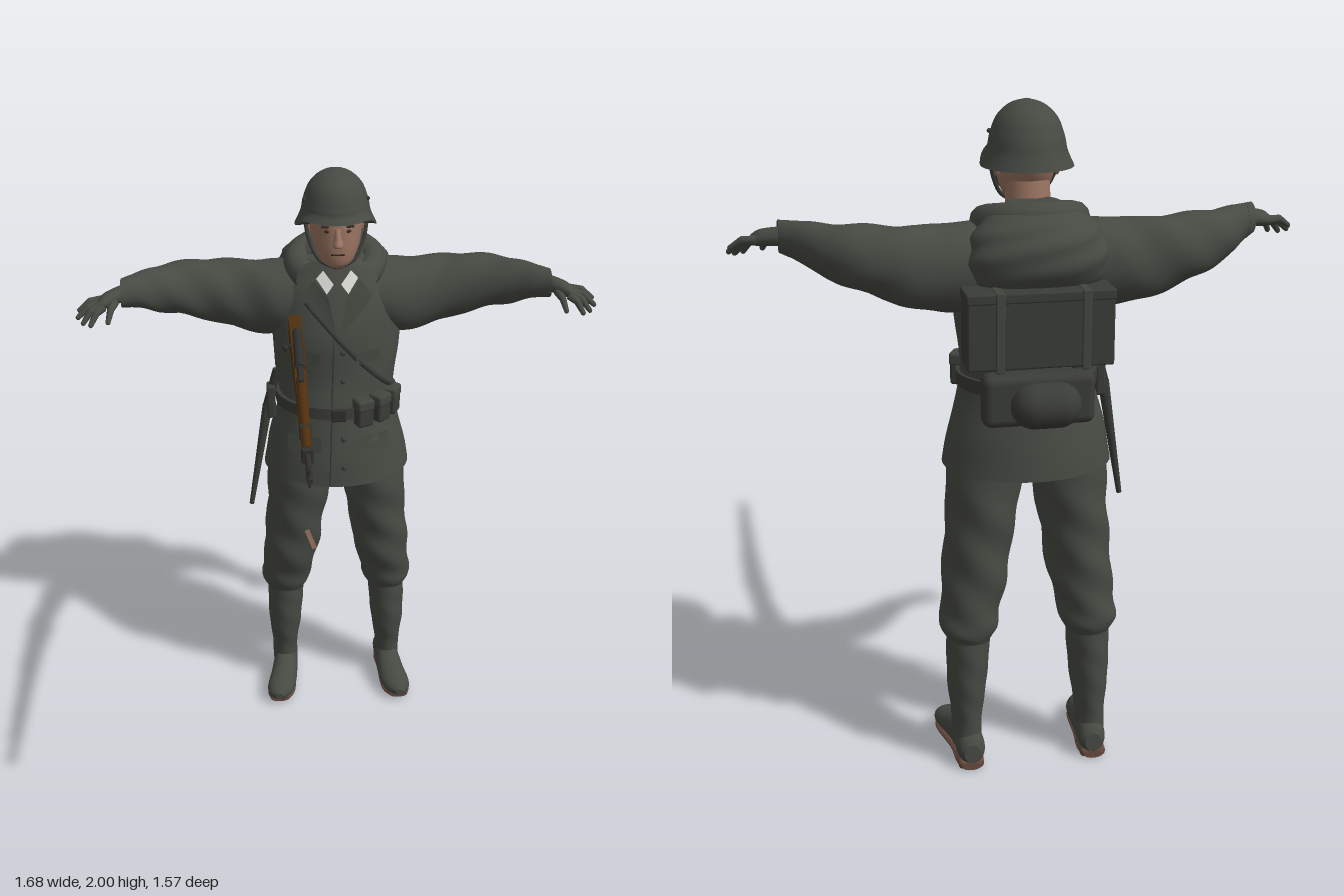
import * as THREE from 'three';
import { RoundedBoxGeometry } from 'three/addons/geometries/RoundedBoxGeometry.js';

const V = (x, y, z) => new THREE.Vector3(x, y, z);
const mat = (name, color, side = THREE.FrontSide) => {
  const m = new THREE.MeshStandardMaterial({ color, side });
  m.name = name;
  return m;
};

// jacket cross-sections: x, y, z, half width, half depth
const TORSO = [[0, .95, -.475, .25, .21], [0, 1.05, -.475, .232, .2], [0, 1.2, -.475, .196, .175],
  [0, 1.3, -.485, .202, .165], [0, 1.45, -.495, .215, .168], [0, 1.58, -.51, .208, .148],
  [0, 1.66, -.515, .165, .12], [0, 1.7, -.5, .1, .09]];

// front surface of the jacket at x, y
function frontZ(x, y) {
  let i = 0;
  while (i < TORSO.length - 2 && TORSO[i + 1][1] < y) i++;
  const a = TORSO[i], b = TORSO[i + 1], t = (y - a[1]) / (b[1] - a[1]);
  const [, , cz, rx, rz] = a.map((v, k) => v + (b[k] - v) * t);
  return cz + rz * Math.sqrt(Math.max(0, 1 - (x / rx) ** 2));
}

// smooth closed body through elliptical rings [x, y, z, a, b] set across an axis
function loft(rings, axis, seg = 28, ripple = 0) {
  const P = new THREE.CatmullRomCurve3(rings.map(r => V(r[0], r[1], r[2])), false, 'catmullrom', .5);
  const R = new THREE.CatmullRomCurve3(rings.map(r => V(r[3], r[4], 0)), false, 'catmullrom', .5);
  const n = (rings.length - 1) * 5, pos = [], idx = [];
  const ring = t => {
    const p = P.getPoint(t), r = R.getPoint(t);
    for (let j = 0; j < seg; j++) {
      const a = j / seg * Math.PI * 2;
      const w = 1 + ripple * Math.sin(3 * a + t * 26) * Math.sin(t * Math.PI);
      const c = Math.cos(a) * r.x * w, s = Math.sin(a) * r.y * w;
      if (axis === 'y') pos.push(p.x + c, p.y, p.z + s);
      else if (axis === 'x') pos.push(p.x, p.y + c, p.z + s);
      else pos.push(p.x + c, p.y + s, p.z);
    }
    return p;
  };
  for (let i = 0; i <= n; i++) ring(i / n);
  for (let i = 0; i < n; i++) for (let j = 0; j < seg; j++) {
    const a = i * seg + j, b = i * seg + (j + 1) % seg;
    idx.push(a, a + seg, b, b, a + seg, b + seg);
  }
  for (const t of [0, 1]) {
    const base = pos.length / 3, c = ring(t);
    pos.push(c.x, c.y, c.z);
    for (let j = 0; j < seg; j++) {
      const a = base + j, b = base + (j + 1) % seg;
      idx.push(...(t ? [a, base + seg, b] : [b, base + seg, a]));
    }
  }
  // turn the faces outward
  let vol = 0;
  const pt = i => V(pos[i * 3], pos[i * 3 + 1], pos[i * 3 + 2]), o = pt(0);
  for (let i = 0; i < idx.length; i += 3)
    vol += pt(idx[i]).sub(o).dot(pt(idx[i + 1]).sub(o).cross(pt(idx[i + 2]).sub(o)));
  if (vol < 0) idx.reverse();
  const g = new THREE.BufferGeometry();
  g.setAttribute('position', new THREE.Float32BufferAttribute(pos, 3));
  g.setIndex(idx);
  g.computeVertexNormals();
  return g;
}

// tapered rod between two points
function rod(a, b, ra, rb = ra, seg = 12) {
  const d = b.clone().sub(a), g = new THREE.CylinderGeometry(rb, ra, d.length(), seg);
  g.applyQuaternion(new THREE.Quaternion().setFromUnitVectors(V(0, 1, 0), d.clone().normalize()));
  const m = a.clone().add(b).multiplyScalar(.5);
  return g.translate(m.x, m.y, m.z);
}
const tube = (pts, r) => new THREE.TubeGeometry(new THREE.CatmullRomCurve3(pts), 28, r, 8);
const box = (w, h, d, x, y, z, r = .008) => new RoundedBoxGeometry(w, h, d, 2, r).translate(x, y, z);

export function createModel() {
  const root = new THREE.Group();
  root.name = 'soldier';
  const cloth = mat('field grey cloth', 0x474a43), gear = mat('dark gear', 0x3a3c37);
  const skin = mat('skin', 0x9a7461), wood = mat('rifle wood', 0x50300f);
  const metal = mat('gun metal', 0x30312f), sole = mat('boot sole', 0x664a3e);
  const white = mat('shirt collar', 0xd8d8d4, THREE.DoubleSide);
  const flap = mat('cloth flaps', 0x42453e, THREE.DoubleSide);
  const dark = mat('dark features', 0x3a2a24);
  const add = (name, g, m, parent = root) => {
    const mesh = new THREE.Mesh(g, m);
    mesh.name = name;
    parent.add(mesh);
    return mesh;
  };
  // flat panel laid on the jacket front
  const drape = (name, pts, m, off = .01) => {
    const g = new THREE.ShapeGeometry(new THREE.Shape(pts.map(p => new THREE.Vector2(...p))));
    const p = g.attributes.position;
    for (let i = 0; i < p.count; i++) p.setZ(i, frontZ(p.getX(i), p.getY(i)) + off);
    g.computeVertexNormals();
    add(name, g, m);
  };

  // jacket, hood and collar
  add('jacket', loft(TORSO, 'y', 40, .012), cloth);
  add('hood', loft([[0, 1.48, -.62, .15, .05], [0, 1.56, -.635, .19, .095], [0, 1.64, -.615, .185, .115],
    [0, 1.7, -.585, .14, .105], [0, 1.735, -.565, .07, .06]], 'y', 32, .03), cloth);
  const collar = new THREE.TorusGeometry(.125, .045, 12, 40, 4.5);
  collar.rotateZ(Math.PI / 2 + .89).rotateX(Math.PI / 2).rotateX(.22).translate(0, 1.672, -.505);
  add('hoodCollar', collar, cloth);
  for (const s of [-1, 1]) {
    drape('shirtCollar', [[s * .012, 1.645], [s * .035, 1.615], [s * .068, 1.66], [s * .045, 1.685]], white, .024);
    drape('lapel', [[s * .005, 1.48], [s * .03, 1.6], [s * .075, 1.65], [s * .115, 1.6], [s * .085, 1.56]], flap, .014);
    drape('skirtPocketFlap', [[s * .06, 1.13], [s * .17, 1.12], [s * .17, 1.07], [s * .115, 1.055], [s * .06, 1.08]], flap, .012);
    drape('breastPocketFlap', [[s * .06, 1.42], [s * .14, 1.42], [s * .14, 1.385], [s * .1, 1.37], [s * .06, 1.385]], flap, .012);
  }
  const line = (x0, y0, x1, y1) => Array.from({ length: 9 }, (_, i) => {
    const x = x0 + (x1 - x0) * i / 8, y = y0 + (y1 - y0) * i / 8;
    return V(x, y, frontZ(x, y));
  });
  add('frontEdge', tube(line(-.03, .955, -.01, 1.5), .005), flap);
  add('slingStrap', tube(line(-.1, 1.58, .185, 1.26), .011), gear);
  for (let i = 0; i < 5; i++) {
    const y = 1.02 + i * .1;
    add('button', new THREE.SphereGeometry(.009, 10, 8).translate(.015, y, frontZ(.015, y) + .002), gear);
  }

  // belt, buckle and pouches
  add('belt', loft([[0, 1.19, -.475, .206, .184], [0, 1.23, -.477, .207, .183]], 'y', 40), gear);
  add('buckle', box(.05, .045, .014, 0, 1.21, -.288, .005), metal);
  for (const a of [.42, .78, 1.14]) {
    const pouch = new THREE.Group();
    pouch.name = 'ammoPouch';
    add('pouchBody', box(.058, .095, .05, 0, 0, 0, .01), gear, pouch);
    add('pouchLid', box(.062, .04, .056, 0, .03, 0, .01), flap, pouch);
    pouch.position.set(.2 * Math.sin(a), 1.215, -.475 + .19 * Math.cos(a));
    pouch.rotation.y = a;
    root.add(pouch);
  }

  // pack and bags on the back
  add('packBox', box(.41, .21, .11, .015, 1.41, -.692, .006), gear);
  add('packLid', box(.415, .03, .114, .015, 1.505, -.692, .006), gear);
  for (const x of [-.11, .13]) add('packStrap', box(.025, .225, .122, x, 1.41, -.692, .004), flap);
  add('breadBag', box(.32, .15, .08, .01, 1.2, -.675, .025), gear);
  add('canteen', new THREE.CapsuleGeometry(.065, .07, 8, 20).rotateZ(Math.PI / 2).translate(-.005, 1.19, -.718), gear);
  for (const s of [-1, 1])
    add('backStrap', tube([V(s * .1, 1.24, -.655), V(s * .12, 1.4, -.65), V(s * .11, 1.55, -.64)], .012), gear);

  // bayonet on the right hip
  add('scabbard', rod(V(-.235, 1.17, -.46), V(-.3, .8, -.43), .017, .008), gear);
  add('bayonetGrip', rod(V(-.2, 1.3, -.47), V(-.235, 1.17, -.46), .014, .016), metal);
  add('bayonetFrog', box(.03, .12, .05, -.222, 1.19, -.46), gear);

  // head and face
  add('neck', rod(V(0, 1.6, -.49), V(0, 1.8, -.47), .068, .062, 20), skin);
  add('head', loft([[0, 1.703, -.385, .025, .025], [0, 1.72, -.395, .05, .052], [0, 1.76, -.425, .072, .09],
    [0, 1.81, -.443, .083, .108], [0, 1.86, -.45, .085, .112], [0, 1.92, -.455, .07, .09]], 'y'), skin);
  add('nose', loft([[0, 1.845, -.345, .01, .012], [0, 1.815, -.335, .012, .02], [0, 1.792, -.327, .018, .022],
    [0, 1.782, -.335, .01, .01]], 'y', 14), skin);
  add('mouth', box(.044, .007, .008, 0, 1.757, -.339, .003), dark);
  for (const s of [-1, 1]) {
    add('eye', new THREE.SphereGeometry(.011, 10, 8).scale(1, .5, .5).translate(s * .033, 1.833, -.346), dark);
    add('eyebrow', box(.036, .007, .01, s * .035, 1.848, -.347, .003), dark);
    add('ear', new THREE.SphereGeometry(.022, 12, 10).scale(.4, 1.3, .8).translate(s * .086, 1.815, -.465), skin);
    add('chinStrap', tube([V(s * .1, 1.84, -.44), V(s * .088, 1.78, -.42), V(s * .055, 1.72, -.39), V(0, 1.699, -.372)], .006), gear);
  }

  // helmet with a rim that rises toward the front
  const helmet = loft([[0, 1.817, -.465, .132, .143], [0, 1.86, -.465, .113, .129], [0, 1.9, -.462, .105, .121],
    [0, 1.95, -.458, .086, .098], [0, 1.985, -.456, .05, .058], [0, 2, -.455, .006, .006]], 'y', 40);
  const hp = helmet.attributes.position;
  for (let i = 0; i < hp.count; i++) {
    const f = THREE.MathUtils.smoothstep(hp.getZ(i), -.46, -.36);
    if (hp.getY(i) < 1.9) hp.setY(i, hp.getY(i) + (1.9 - hp.getY(i)) * .5 * f);
  }
  helmet.computeVertexNormals();
  add('helmet', helmet, cloth);
  for (const s of [-1, 1]) add('helmetRivet', new THREE.SphereGeometry(.007, 8, 6).translate(s * .101, 1.91, -.43), gear);

  // limbs on both sides
  for (const s of [-1, 1]) {
    const side = rings => rings.map(([x, ...r]) => [s * x, ...r]);
    add('sleeve', loft(side([[.1, 1.57, -.51, .1, .11], [.2, 1.548, -.515, .125, .113], [.3, 1.548, -.53, .12, .095],
      [.4, 1.567, -.532, .107, .088], [.5, 1.586, -.513, .09, .083], [.58, 1.6, -.475, .075, .074],
      [.64, 1.617, -.43, .058, .06], [.69, 1.625, -.39, .045, .046]]), 'x', 28, .04), cloth);
    add('cuff', loft(side([[.665, 1.621, -.412, .052, .054], [.695, 1.625, -.387, .046, .048]]), 'x'), cloth);
    add('palm', loft(side([[.68, 1.625, -.392, .028, .03], [.71, 1.622, -.375, .026, .036],
      [.745, 1.615, -.352, .023, .042], [.768, 1.608, -.338, .014, .034]]), 'x', 18), cloth);
    const fingers = [[.752, 1.612, -.372, .828, 1.588, -.345], [.762, 1.608, -.352, .832, 1.572, -.322],
      [.76, 1.606, -.335, .815, 1.562, -.298], [.75, 1.606, -.318, .79, 1.562, -.278],
      [.715, 1.61, -.345, .735, 1.57, -.28]];
    for (const [x, y, z, X, Y, Z] of fingers) {
      const mid = V(s * (x * .45 + X * .55), y * .4 + Y * .6 + .014, (z + Z) / 2), tip = V(s * X, Y, Z);
      add('finger', rod(V(s * x, y, z), mid, .014, .0115), cloth);
      add('fingerJoint', new THREE.SphereGeometry(.0115, 10, 8).translate(...mid.toArray()), cloth);
      add('fingerEnd', rod(mid, tip, .0115, .008), cloth);
      add('fingertip', new THREE.SphereGeometry(.008, 8, 6).translate(...tip.toArray()), cloth);
    }
    add('trouserLeg', loft(side([[.118, 1, -.48, .115, .14], [.128, .9, -.48, .112, .142], [.137, .8, -.485, .105, .136],
      [.15, .7, -.49, .1, .127], [.16, .6, -.497, .098, .121], [.175, .51, -.51, .088, .106],
      [.183, .45, -.52, .088, .1], [.183, .41, -.52, .066, .083]]), 'y', 28, .035), cloth);
    add('bootShaft', loft(side([[.183, .45, -.518, .066, .086], [.186, .36, -.52, .064, .087], [.19, .25, -.522, .058, .081],
      [.192, .15, -.53, .046, .068], [.193, .06, -.535, .044, .066]]), 'y', 24, .015), cloth);
    add('bootFoot', loft(side([[.188, .055, -.615, .025, .03], [.188, .062, -.59, .042, .052], [.191, .068, -.51, .043, .058],
      [.2, .056, -.43, .048, .045], [.212, .046, -.365, .051, .035], [.219, .042, -.325, .04, .028],
      [.222, .042, -.3, .014, .012]]), 'z', 24), cloth);
    add('bootSole', loft(side([[.19, .013, -.614, .03, .013], [.19, .015, -.57, .043, .015], [.196, .016, -.49, .041, .014],
      [.212, .016, -.37, .05, .015], [.22, .022, -.315, .034, .014]]), 'z', 20), sole);
    add('bootHeel', box(.078, .03, .085, s * .19, .016, -.568, .012), sole);
  }
  // tear on the right thigh
  add('trouserTear', new THREE.BoxGeometry(.016, .075, .006).rotateX(-.1).rotateZ(.35).translate(-.097, .69, -.352), skin);

  // rifle
  const rifle = new THREE.Group();
  rifle.name = 'rifle';
  root.add(rifle);
  const X = -.14;
  const outline = [[.65, 1.588], [.65, 1.564], [.3, 1.548], [0, 1.524], [-.1, 1.508], [-.16, 1.5], [-.33, 1.437],
    [-.37, 1.435], [-.37, 1.54], [-.2, 1.55], [-.12, 1.57], [0, 1.587]];
  const stock = new THREE.ExtrudeGeometry(new THREE.Shape(outline.map(p => new THREE.Vector2(...p))),
    { depth: .04, bevelEnabled: false }).rotateY(-Math.PI / 2).translate(.02, 0, 0);
  const sp = stock.attributes.position;
  for (let i = 0; i < sp.count; i++) sp.setX(i, X + sp.getX(i) * (1 - .4 * THREE.MathUtils.clamp(sp.getZ(i) / .65, 0, 1)));
  stock.computeVertexNormals();
  add('stock', stock, wood, rifle);
  add('barrel', rod(V(X, 1.584, -.05), V(X, 1.578, .79), .013, .008), metal, rifle);
  add('handguard', rod(V(X, 1.583, .2), V(X, 1.581, .62), .017, .013), wood, rifle);
  add('cleaningRod', rod(V(X, 1.558, .6), V(X, 1.553, .77), .004), metal, rifle);
  add('receiver', rod(V(X, 1.586, -.14), V(X, 1.588, .13), .014, .017), metal, rifle);
  add('rearSight', box(.018, .014, .09, X, 1.604, .2, .004), metal, rifle);
  add('frontSight', box(.008, .026, .02, X, 1.594, .765, .003), metal, rifle);
  for (const [z, y] of [[.5, 1.573], [.3, 1.57], [.64, 1.576]])
    add('barrelBand', box(.034, .044, .02, X, y, z, .006), metal, rifle);
  add('boltHandle', rod(V(X, 1.585, -.06), V(X - .035, 1.57, -.06), .005), metal, rifle);
  add('boltKnob', new THREE.SphereGeometry(.01, 10, 8).translate(X - .038, 1.568, -.06), metal, rifle);
  add('triggerGuard', new THREE.TorusGeometry(.025, .004, 8, 24).scale(1.3, 1, 1).rotateY(Math.PI / 2).translate(X, 1.497, -.075), metal, rifle);
  add('magazineFloor', box(.026, .02, .09, X, 1.515, -.005, .005), metal, rifle);
  return root;
}
